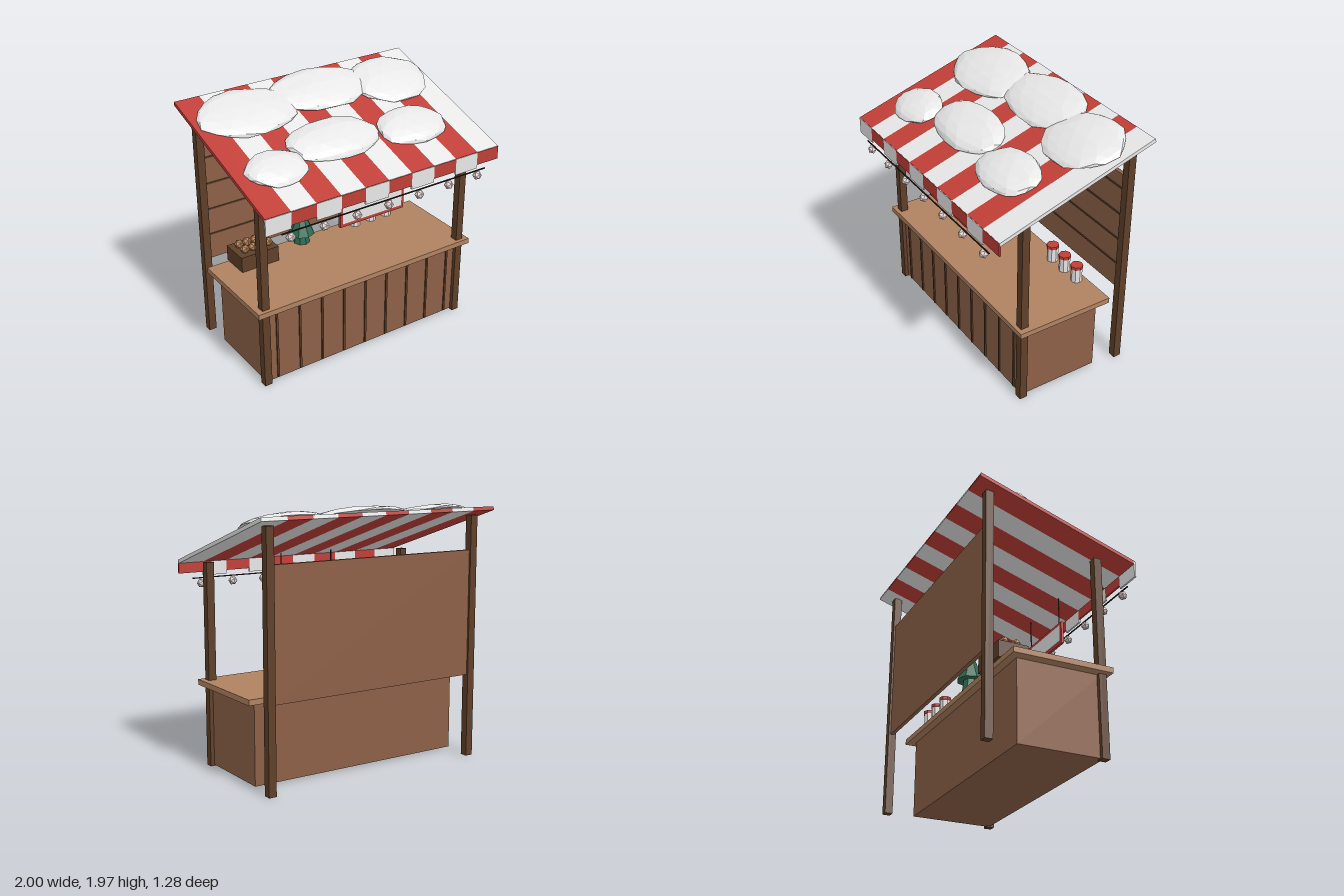
import * as THREE from 'three';

const mat = (name, color, flatShading = true) => {
  const m = new THREE.MeshStandardMaterial({ color, flatShading });
  m.name = name;
  return m;
};

export function createModel() {
  const red = mat('red cloth', 0xc03f38);
  const white = mat('white cloth', 0xf0f0f0);
  const snowWhite = mat('snow', 0xfafafa);
  const wood = mat('plank wood', 0x8d6047);
  const topWood = mat('counter wood', 0xb08260);
  const darkWood = mat('dark wood', 0x5f4029);
  const green = mat('tree green', 0x2f6b52);
  const glass = mat('bulb glass', 0xe6d6d4);
  const tan = mat('baked tan', 0xb57f52);
  const wire = mat('wire', 0x2a211c);

  const stall = new THREE.Group();
  stall.name = 'marketStall';

  const add = (name, geo, material, x, y, z, parent = stall) => {
    const mesh = new THREE.Mesh(geo, material);
    mesh.name = name;
    mesh.position.set(x, y, z);
    parent.add(mesh);
    return mesh;
  };
  // Box given by its size and centre
  const box = (name, material, w, h, d, x, y, z, parent) =>
    add(name, new THREE.BoxGeometry(w, h, d), material, x, y, z, parent);
  const group = (name, parent = stall) => {
    const g = new THREE.Group();
    g.name = name;
    parent.add(g);
    return g;
  };

  // Posts
  for (const side of [-1, 1]) {
    box('frontPost', darkWood, 0.06, 1.54, 0.06, side * 0.885, 0.77, 0.34);
    box('backPost', darkWood, 0.06, 1.865, 0.06, side * 0.885, 0.9325, -0.525);
  }

  // Counter with battens on the front
  box('counterBody', wood, 1.77, 0.61, 0.65, 0, 0.315, 0.015);
  box('counterTop', topWood, 1.92, 0.042, 0.77, 0, 0.641, 0.015);
  for (let i = -4; i <= 4; i++) {
    box('counterBatten', darkWood, 0.016, 0.59, 0.012, i * 0.196, 0.315, 0.344);
  }

  // Back wall with plank seams
  box('backWall', wood, 1.72, 0.96, 0.03, 0, 1.125, -0.525);
  for (let i = 0; i < 4; i++) {
    box('wallSeam', darkWood, 1.71, 0.012, 0.008, 0, 0.853 + i * 0.2145, -0.508);
  }

  // Sloping striped roof
  const roof = group('roof');
  roof.position.set(0, 1.722, -0.018);
  roof.rotation.x = 0.305;
  for (let i = 0; i < 10; i++) {
    const x = -0.9 + i * 0.2;
    box('roofStripe', i % 2 ? white : red, 0.2, 0.028, 1.3, x, 0, 0, roof);
    // Hanging valance in the opposite colours
    const drop = i % 2 ? 0.1 : 0.127;
    box('valanceFlap', i % 2 ? red : white, 0.2, drop, 0.014, x, 1.537 - drop / 2, 0.602);
  }

  // Flat-bottomed snow drifts: x, z, half width, half depth, height
  const drifts = [
    [-0.58, -0.335, 0.39, 0.25, 0.062],
    [0.07, -0.39, 0.42, 0.23, 0.062],
    [0.645, -0.31, 0.325, 0.26, 0.062],
    [-0.69, 0.24, 0.235, 0.17, 0.062],
    [-0.15, 0.125, 0.37, 0.205, 0.07],
    [0.49, 0.2, 0.285, 0.195, 0.062],
  ];
  drifts.forEach(([x, z, w, d, h], n) => {
    const geo = new THREE.IcosahedronGeometry(1, 2);
    const p = geo.attributes.position;
    for (let i = 0; i < p.count; i++) {
      const a = p.getX(i), b = p.getY(i), c = p.getZ(i);
      const k = 1 + 0.035 * Math.sin(5 * a + 3 * n) * Math.cos(4 * c - n) + 0.025 * Math.sin(7 * b + 6 * c + n);
      p.setXYZ(i, a * w * k, Math.max(b, 0) * h * k, (c * d * k) / 0.954);
    }
    geo.computeVertexNormals();
    add('snowDrift', geo, snowWhite, x, 0.036, (z + 0.018) / 0.954, roof);
  });

  // Hanging sign, panelled on both faces
  const sign = group('sign');
  sign.position.set(0, 1.246, 0.4);
  box('signFrame', red, 0.56, 0.182, 0.02, 0.003, 0, 0, sign);
  for (const side of [-1, 1]) {
    box('signPanel', white, 0.515, 0.132, 0.006, 0.003, 0, side * 0.011, sign);
    add('signHanger', new THREE.CylinderGeometry(0.005, 0.005, 0.23, 6), wire, side * 0.23, 0.2, 0, sign);
  }

  // String of lights
  const lights = group('stringLights');
  box('lightWire', wire, 1.76, 0.008, 0.008, 0, 1.391, 0.609, lights);
  for (let i = -3; i <= 3; i++) {
    add('bulb', new THREE.IcosahedronGeometry(0.035, 0), glass, i * 0.27, 1.35, 0.609, lights);
  }

  // Small tree
  const tree = group('tree');
  tree.position.set(-0.155, 0.66, -0.31);
  add('treeBase', new THREE.CylinderGeometry(0.052, 0.066, 0.1, 8), green, 0, 0.05, 0, tree);
  add('treeCone', new THREE.ConeGeometry(0.104, 0.232, 8), green, 0, 0.198, 0, tree);

  // Jars with red lids
  for (const x of [0.345, 0.5, 0.652]) {
    add('jar', new THREE.CylinderGeometry(0.043, 0.043, 0.122, 8), white, x, 0.721, -0.295);
    add('jarLid', new THREE.CylinderGeometry(0.048, 0.048, 0.024, 8), red, x, 0.79, -0.295);
  }

  // Crate with baked goods
  const crate = group('crate');
  box('crateBox', darkWood, 0.32, 0.125, 0.23, -0.615, 0.724, -0.275, crate);
  for (let i = 0; i < 4; i++) {
    for (const z of [-0.225, -0.315]) {
      add('bun', new THREE.IcosahedronGeometry(0.037, 0), tan, -0.71 + i * 0.067, 0.815, z, crate);
    }
  }

  return stall;
}
